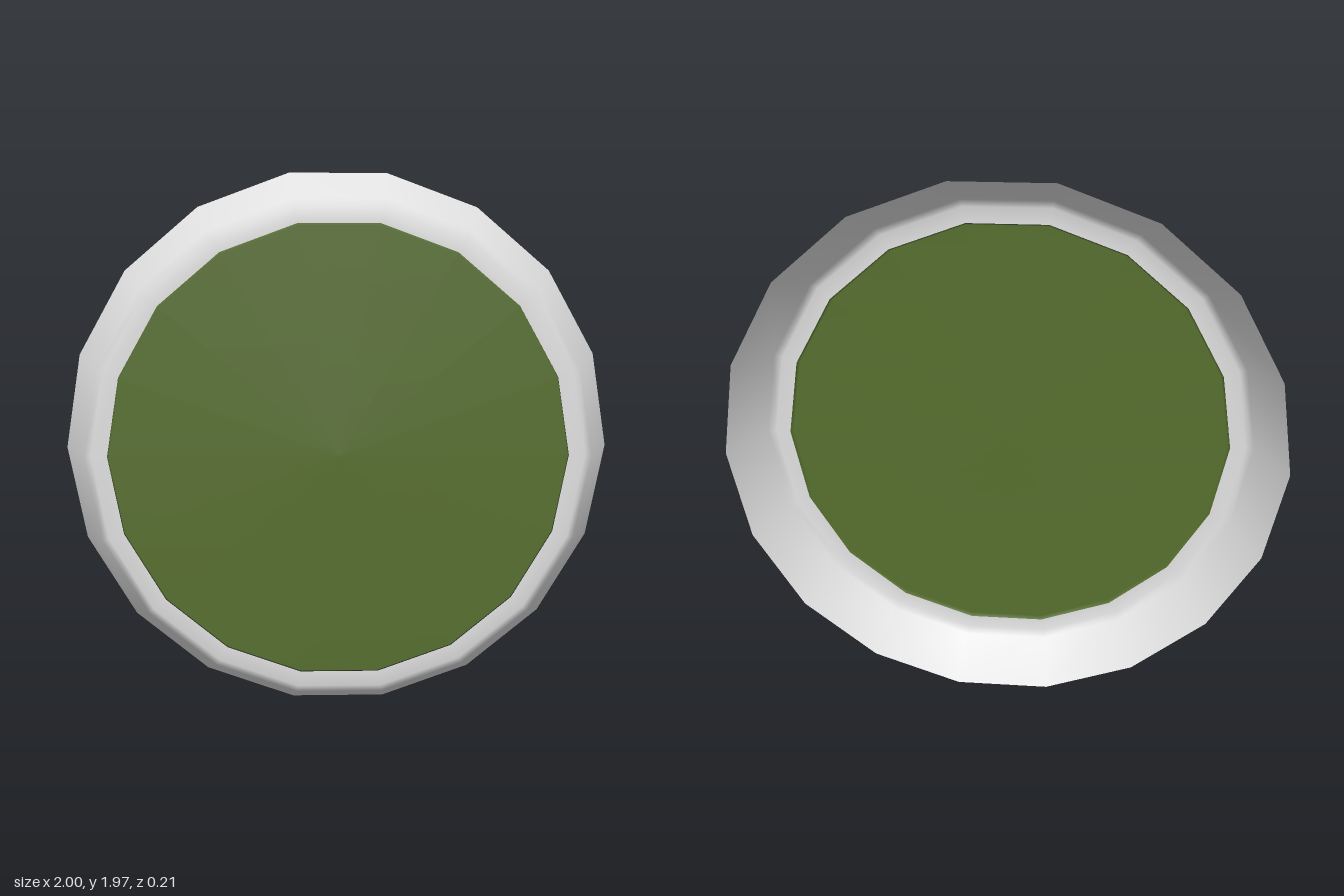
import * as THREE from 'three';

const SIDES = 18;
const CENTRE_Y = 0.985;

// Turns an [radius, z] profile into an 18-sided shell facing +z
function turned(name, profile, material) {
  const points = profile.map(([r, z]) => new THREE.Vector2(r, z));
  const geometry = new THREE.LatheGeometry(points, SIDES, Math.PI / 2);
  geometry.rotateX(Math.PI / 2);
  geometry.translate(0, CENTRE_Y, 0);
  const mesh = new THREE.Mesh(geometry, material);
  mesh.name = name;
  return mesh;
}

export function createModel() {
  const rimWhite = new THREE.MeshStandardMaterial({ color: 0xe0e0e0, side: THREE.DoubleSide });
  rimWhite.name = 'rim white';
  const discGreen = new THREE.MeshStandardMaterial({ color: 0x566e2e, side: THREE.DoubleSide });
  discGreen.name = 'disc green';

  const model = new THREE.Group();
  model.name = 'dish';

  // Flared rim: sloping wall, small bevel, flat front band; open at the back
  model.add(turned('rim', [[1, -0.105], [0.9, 0.083], [0.872, 0.098], [0.815, 0.098]], rimWhite));

  // Thin raised disc with a softly shaded edge
  model.add(turned('disc', [[0.816, 0.09], [0.808, 0.105], [0, 0.105]], discGreen));

  return model;
}
